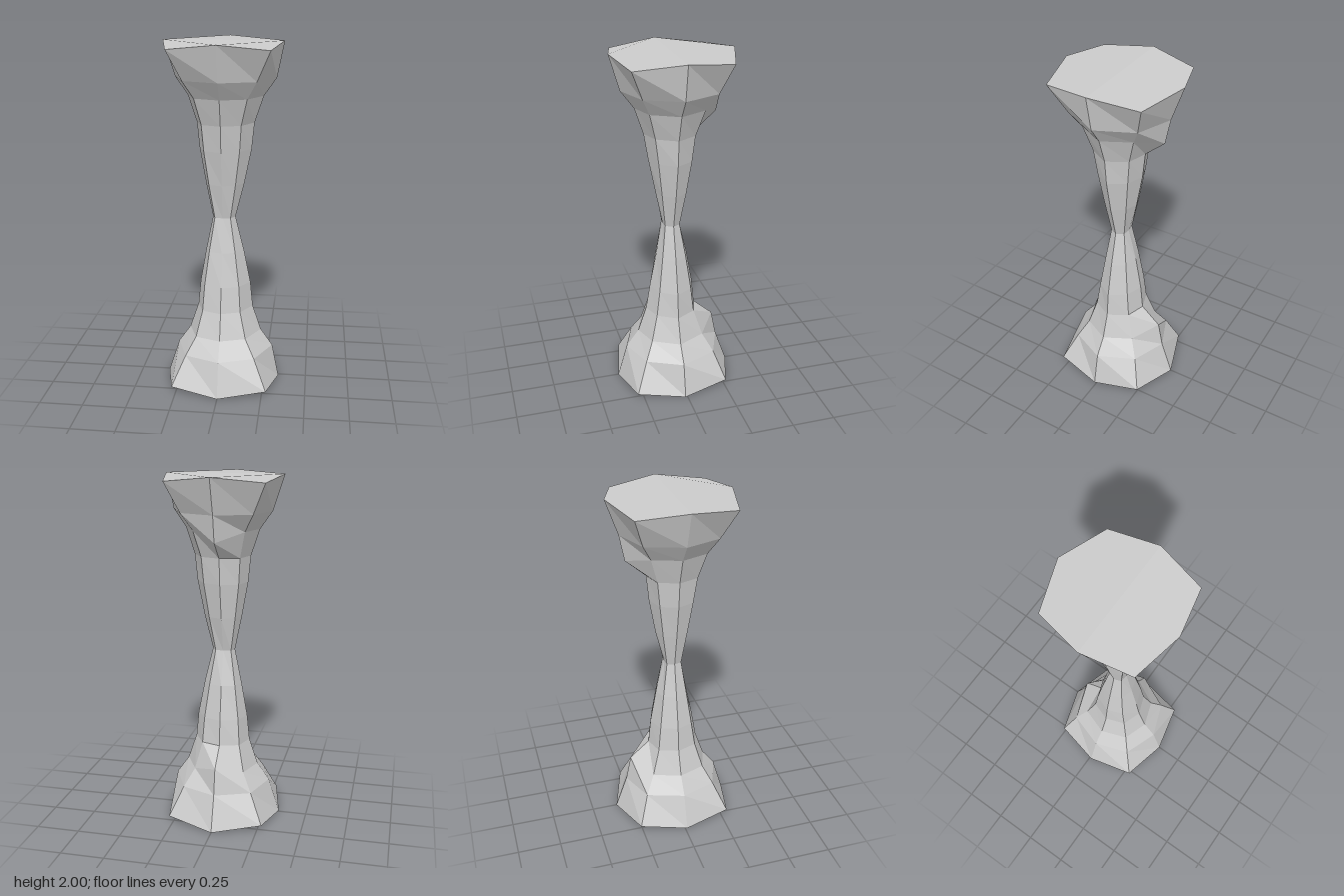
import * as THREE from 'three';

// Cross-sections of the upper half:
// [y, left x, right x, corner x, front z, back z, front corner z, back corner z]
const SECTIONS = [
  [1.0, -0.06, 0.07, 0.045, 0.06, -0.035, 0.055, -0.03],
  [1.2, -0.1, 0.12, 0.075, 0.1, -0.085, 0.08, -0.06],
  [1.4, -0.135, 0.16, 0.1, 0.14, -0.12, 0.105, -0.085],
  [1.55, -0.15, 0.175, 0.11, 0.165, -0.135, 0.125, -0.1],
  [1.7, -0.2, 0.225, 0.145, 0.215, -0.25, 0.165, -0.145],
  [1.8, -0.27, 0.295, 0.2, 0.29, -0.28, 0.215, -0.2],
  [2.0, -0.335, 0.335, 0.275, 0.348, -0.35, 0.287, -0.26],
];
const SIDE_Z = 0.012;

// Eight points, from the left side (+x) round by the front
function ring([y, xl, xr, cx, zf, zb, czf, czb], index) {
  const cornerY = index === 6 ? 1.97 : y; // rim corners dip
  const backY = index === 4 ? 1.65 : y; // bulge sags at the back
  return [
    [xr, y, SIDE_Z], [cx, cornerY, czf], [0, y, zf], [-cx, cornerY, czf],
    [xl, y, SIDE_Z], [-cx, cornerY, czb], [0, backY, zb], [cx, cornerY, czb],
  ];
}

const flip = (points) => points.map(([x, y, z]) => [x, 2 - y, z]);

function meshFrom(name, triangles, normals) {
  const geometry = new THREE.BufferGeometry();
  geometry.setAttribute('position', new THREE.Float32BufferAttribute(triangles.flat(2), 3));
  if (normals) geometry.setAttribute('normal', new THREE.Float32BufferAttribute(normals.flat(), 3));
  else geometry.computeVertexNormals();
  const material = new THREE.MeshStandardMaterial({ color: 0xcccccc, flatShading: !normals });
  const mesh = new THREE.Mesh(geometry, material);
  mesh.name = name;
  return mesh;
}

// End cap: two halves meeting on the line between the side points
function cap(name, r, up) {
  const triangles = [];
  const normals = [];
  for (const start of [0, 4]) {
    const p = [0, 1, 2, 3, 4].map((k) => r[(start + k) % 8]);
    const tilt = start === 0 ? 0.05 : -0.05;
    const normal = new THREE.Vector3(0, up ? 1 : -1, tilt).normalize().toArray();
    for (const [a, b, c] of [[0, 1, 2], [0, 2, 4], [2, 3, 4]]) {
      triangles.push(up ? [p[a], p[c], p[b]] : [p[a], p[b], p[c]]);
      normals.push(normal, normal, normal);
    }
  }
  return meshFrom(name, triangles, normals);
}

export function createModel() {
  const group = new THREE.Group();
  group.name = 'hourglassColumn';

  // The lower half mirrors the upper one
  const upper = SECTIONS.map(ring);
  const rings = [...upper.slice(1).reverse().map(flip), ...upper];

  // Faceted wall
  const wall = [];
  for (let j = 0; j < rings.length - 1; j++) {
    for (let i = 0; i < 8; i++) {
      const k = (i + 1) % 8;
      const [a, b, c, d] = [rings[j][i], rings[j + 1][i], rings[j + 1][k], rings[j][k]];
      wall.push([a, b, c], [a, c, d]);
    }
  }
  group.add(meshFrom('columnWall', wall));

  group.add(cap('topFace', rings[rings.length - 1], true));
  group.add(cap('bottomFace', rings[0], false));
  return group;
}
